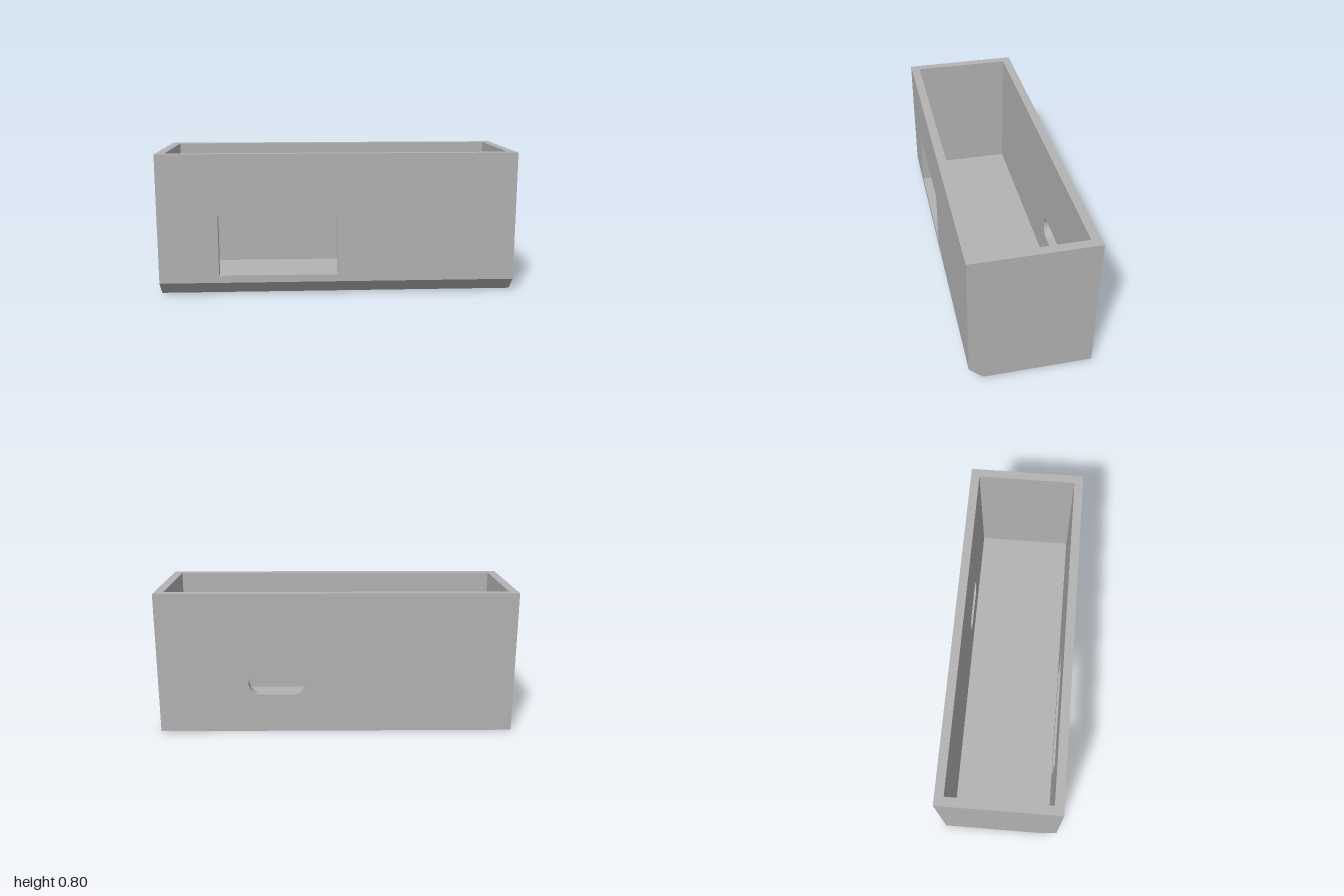
import * as THREE from 'three';
import { mergeGeometries } from 'three/addons/utils/BufferGeometryUtils.js';

const X = 1, Z = 0.333, H = 0.8;      // outer half length, half depth, height
const T = 0.05;                       // wall and floor thickness
const C = 0.076;                      // bevel along the lower front edge
const xi = X - T, zi = Z - T;         // inner half sizes

// Four-cornered face, corners counter-clockwise seen from its front
function quad(a, b, c, d) {
  const g = new THREE.BufferGeometry();
  g.setAttribute('position', new THREE.Float32BufferAttribute([a, b, c, a, c, d].flat(), 3));
  g.computeVertexNormals();
  return g;
}

// Flat face in the xy plane from 2D points, with an optional hole
function flat(points, hole) {
  const shape = new THREE.Shape(points);
  if (hole) shape.holes.push(new THREE.Path(hole));
  const g = new THREE.ShapeGeometry(shape).toNonIndexed();
  g.deleteAttribute('uv');
  return g;
}

const rect = (x0, y0, x1, y1) =>
  [[x0, y0], [x1, y0], [x1, y1], [x0, y1]].map(p => new THREE.Vector2(...p));

// Rounded slot outline, counter-clockwise
function slot(cx, cy, halfLength, r, n = 20) {
  const pts = [];
  for (const [side, start] of [[1, -Math.PI / 2], [-1, Math.PI / 2]])
    for (let i = 0; i <= n; i++) {
      const a = start + Math.PI * i / n;
      pts.push(new THREE.Vector2(cx + side * (halfLength - r) + r * Math.cos(a), cy + r * Math.sin(a)));
    }
  return pts;
}

// Faces lining a hole between depths z0 < z1
function reveal(hole, z0, z1) {
  return hole.map((a, i) => {
    const b = hole[(i + 1) % hole.length];
    return quad([a.x, a.y, z1], [b.x, b.y, z1], [b.x, b.y, z0], [a.x, a.y, z0]);
  });
}

// Pierced long face at depth z, looking along +z or -z
function longFace(outline, hole, z, dir) {
  if (dir > 0) return flat(outline, hole).translate(0, 0, z);
  const mirror = pts => pts.map(p => new THREE.Vector2(-p.x, p.y)).reverse();
  return flat(mirror(outline), mirror(hole)).rotateY(Math.PI).translate(0, 0, z);
}

export function createModel() {
  const group = new THREE.Group();
  const grey = new THREE.MeshStandardMaterial({ color: 0xb3b3b3 });
  grey.name = 'grey';
  const add = (name, parts) => {
    const mesh = new THREE.Mesh(mergeGeometries(parts), grey);
    mesh.name = name;
    group.add(mesh);
  };

  const inner = rect(-xi, T, xi, H);
  const windowHole = rect(-0.667, 0.117, 0, 0.455);
  const slotHole = slot(0.335, 0.285, 0.159, 0.065);

  // Front wall with the rectangular window and lower bevel
  add('frontWall', [
    longFace(rect(-X, C, X, H), windowHole, Z, 1),
    longFace(inner, windowHole, zi, -1),
    ...reveal(windowHole, zi, Z),
    quad([-X, 0, Z - C], [X, 0, Z - C], [X, C, Z], [-X, C, Z]),
  ]);

  // Back wall with the rounded slot
  add('backWall', [
    longFace(rect(-X, 0, X, H), slotHole, -Z, -1),
    longFace(inner, slotHole, -zi, 1),
    ...reveal(slotHole, -Z, -zi),
  ]);

  // End walls, outer face with bevelled corner plus inner face
  const profile = [[-Z, 0], [Z - C, 0], [Z, C], [Z, H], [-Z, H]].map(p => new THREE.Vector2(...p));
  const mirrored = profile.map(p => new THREE.Vector2(-p.x, p.y)).reverse();
  const innerEnd = rect(-zi, T, zi, H);
  add('leftEnd', [
    flat(mirrored).rotateY(Math.PI / 2).translate(X, 0, 0),
    flat(innerEnd).rotateY(-Math.PI / 2).translate(xi, 0, 0),
  ]);
  add('rightEnd', [
    flat(profile).rotateY(-Math.PI / 2).translate(-X, 0, 0),
    flat(innerEnd).rotateY(Math.PI / 2).translate(-xi, 0, 0),
  ]);

  // Top rim
  add('rim', [
    flat(rect(-X, -Z, X, Z), rect(-xi, -zi, xi, zi)).rotateX(-Math.PI / 2).translate(0, H, 0),
  ]);

  // Floor, inside and underside
  add('floor', [
    quad([-xi, T, zi], [xi, T, zi], [xi, T, -zi], [-xi, T, -zi]),
    quad([-X, 0, -Z], [X, 0, -Z], [X, 0, Z - C], [-X, 0, Z - C]),
  ]);

  return group;
}
